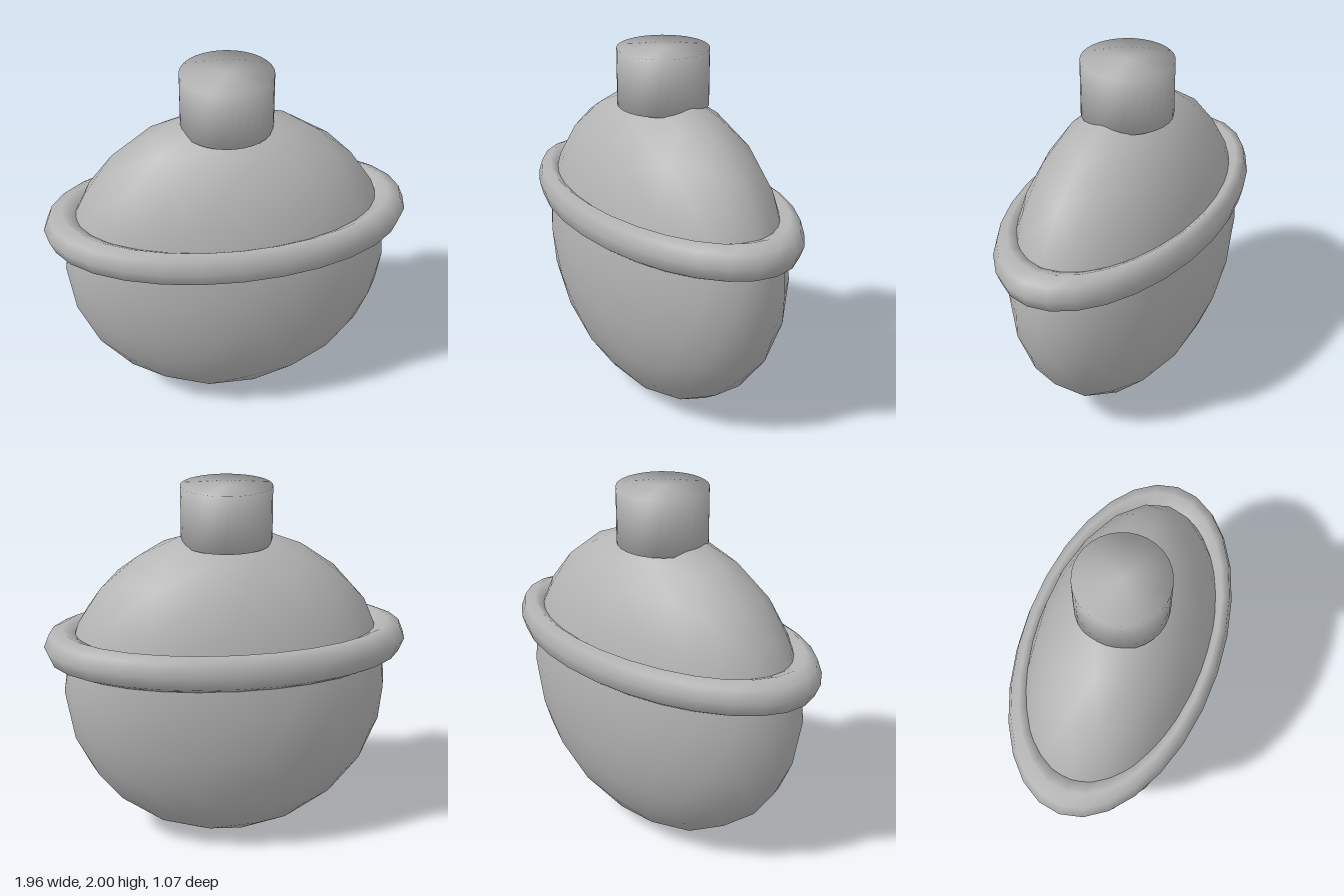
import * as THREE from 'three';
import { mergeVertices } from 'three/addons/utils/BufferGeometryUtils.js';

// Share vertices across all edges so the shading runs smoothly over them
function smooth(geometry) {
  geometry.deleteAttribute('uv');
  geometry.deleteAttribute('normal');
  const merged = mergeVertices(geometry, 1e-4);
  merged.computeVertexNormals();
  return merged;
}

export function createModel() {
  const model = new THREE.Group();
  model.name = 'flask';
  const grey = new THREE.MeshStandardMaterial({ color: 0xb4b4b4 });
  grey.name = 'grey';

  const add = (name, geometry, y) => {
    const mesh = new THREE.Mesh(geometry, grey);
    mesh.name = name;
    mesh.position.y = y;
    model.add(mesh);
  };

  // Flattened icosphere, turned to stand on one of its corners
  const body = new THREE.IcosahedronGeometry(1, 3);
  body.rotateZ(-Math.atan(2 / (1 + Math.sqrt(5))));
  body.scale(0.885, 0.885, 0.495);
  add('body', smooth(body), 0.885);

  // Oval band around the shoulder
  const band = new THREE.TorusGeometry(0.88, 0.1, 8, 28);
  band.rotateX(Math.PI / 2);
  band.scale(1, 1, 0.545);
  add('band', smooth(band), 1.15);

  // Short round neck, closed at both ends
  add('neck', smooth(new THREE.CylinderGeometry(0.24, 0.24, 0.3, 32)), 1.85);

  return model;
}
